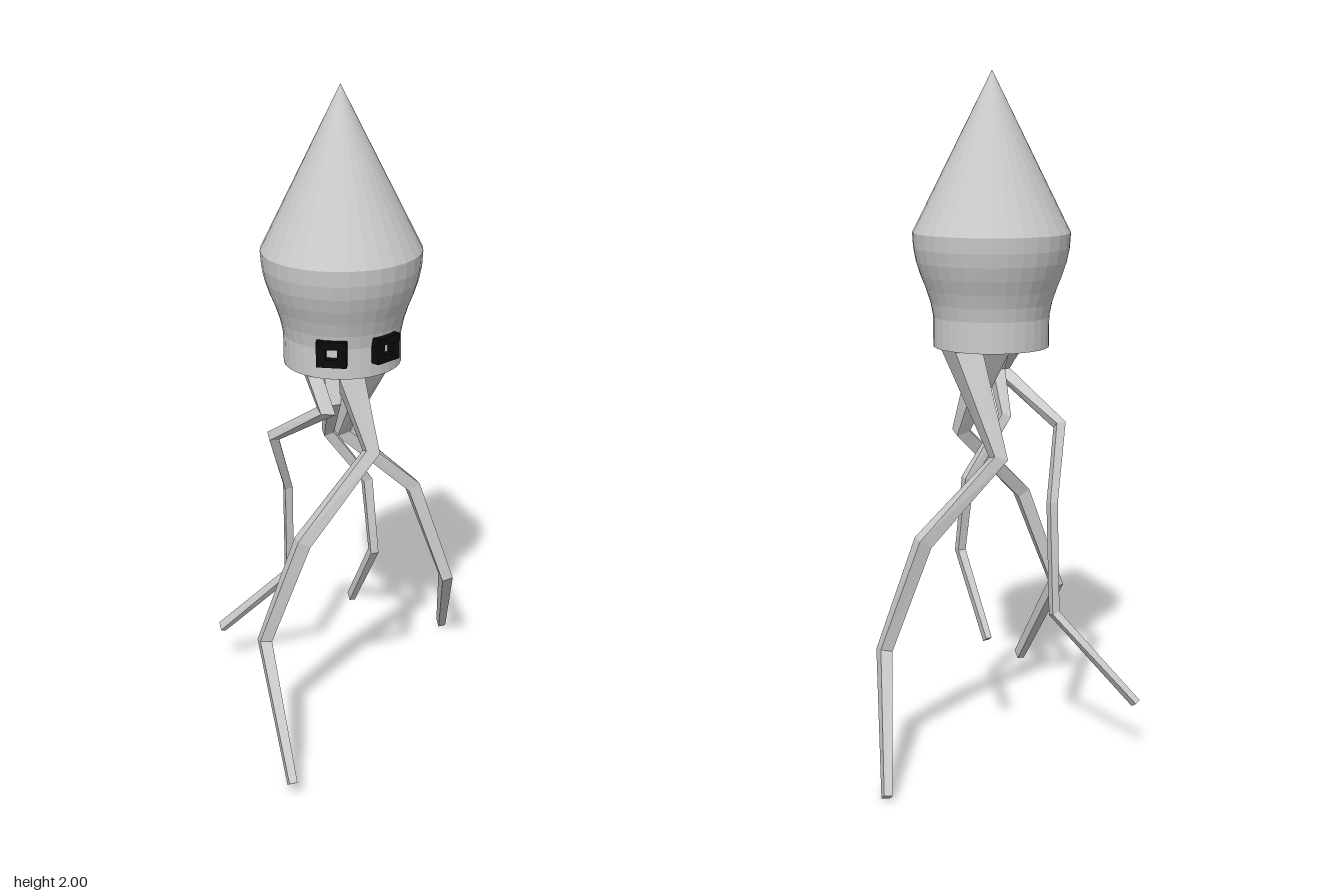
import * as THREE from 'three';

const grey = new THREE.MeshStandardMaterial({ color: 0xcccccc, flatShading: true, side: THREE.DoubleSide });
const black = new THREE.MeshStandardMaterial({ color: 0x0a0a0a });
const AXIS_X = -0.08, AXIS_Z = -0.02;

// Four-sided tube through joints [x, y, z, halfWidth, halfDepth], mitred at each joint
function limbGeometry(joints) {
  const pts = joints.map(j => new THREE.Vector3(j[0], j[1], j[2]));
  const pos = [], idx = [];
  const last = pts.length - 1;
  pts.forEach((p, i) => {
    const dirIn = p.clone().sub(pts[Math.max(i - 1, 0)]).normalize();
    const dirOut = pts[Math.min(i + 1, last)].clone().sub(p).normalize();
    const t = i === 0 ? new THREE.Vector3(0, -1, 0) : dirIn.add(dirOut).normalize();
    const u = new THREE.Vector3(1, 0, 0).addScaledVector(t, -t.x).normalize();
    const v = t.clone().cross(u);
    const [, , , w, d] = joints[i];
    for (const [a, b] of [[-1, -1], [1, -1], [1, 1], [-1, 1]]) {
      const c = p.clone().addScaledVector(u, a * w).addScaledVector(v, b * d);
      pos.push(c.x, c.y, c.z);
    }
  });
  for (let i = 0; i < last; i++) {
    for (let k = 0; k < 4; k++) {
      const a = i * 4 + k, b = i * 4 + (k + 1) % 4;
      idx.push(a, b, b + 4, a, b + 4, a + 4);
    }
  }
  const e = last * 4;
  idx.push(0, 2, 1, 0, 3, 2, e, e + 1, e + 2, e, e + 2, e + 3);
  const g = new THREE.BufferGeometry();
  g.setAttribute('position', new THREE.Float32BufferAttribute(pos, 3));
  g.setIndex(idx);
  const flat = g.toNonIndexed();
  flat.computeVertexNormals();
  return flat;
}

// Legs, from hip to foot
const legs = {
  frontRightLeg: [
    [-0.08, 1.23, -0.05, 0.045, 0.055], [-0.02, 0.93, 0.07, 0.021, 0.021],
    [-0.255, 0.70, 0.14, 0.021, 0.021], [-0.375, 0.385, 0.13, 0.018, 0.019],
    [-0.368, 0.05, 0.395, 0.012, 0.016]],
  backLeftLeg: [
    [0.03, 1.23, -0.025, 0.045, 0.065], [-0.03, 0.895, -0.195, 0.021, 0.021],
    [0.205, 0.67, -0.195, 0.021, 0.021], [0.31, 0.345, -0.15, 0.018, 0.021],
    [0.393, 0.012, -0.4, 0.012, 0.015]],
  backRightLeg: [
    [-0.2, 1.23, 0.03, 0.022, 0.03], [-0.172, 1.1, 0.12, 0.022, 0.022],
    [-0.28, 0.955, -0.08, 0.015, 0.015], [-0.215, 0.74, -0.17, 0.012, 0.014],
    [-0.207, 0.41, -0.21, 0.012, 0.014], [-0.402, 0.155, -0.37, 0.009, 0.015]],
  middleLeg: [
    [-0.14, 1.23, 0.03, 0.022, 0.03], [-0.143, 1.11, 0.085, 0.02, 0.02],
    [-0.13, 0.98, -0.01, 0.015, 0.015], [-0.005, 0.80, -0.02, 0.014, 0.015],
    [0.005, 0.57, 0.015, 0.012, 0.014], [-0.02, 0.33, -0.14, 0.009, 0.014]],
};

// Square frame with a square hole
function eyeGeometry() {
  const square = (shape, w, h) => {
    shape.moveTo(-w, -h);
    shape.lineTo(w, -h);
    shape.lineTo(w, h);
    shape.lineTo(-w, h);
    shape.closePath();
    return shape;
  };
  const s = square(new THREE.Shape(), 0.043, 0.038);
  s.holes.push(square(new THREE.Path(), 0.017, 0.015));
  const g = new THREE.ExtrudeGeometry(s, { depth: 0.03, bevelEnabled: false });
  g.translate(0, 0, -0.015);
  return g;
}

export function createModel() {
  const group = new THREE.Group();
  group.name = 'walkingSquid';

  // Head: recessed underside, neck, swelling body, pointed cap
  const profile = [
    [0, 1.225], [0.165, 1.225], [0.172, 1.2], [0.172, 1.29], [0.18, 1.33], [0.193, 1.37],
    [0.209, 1.41], [0.222, 1.45], [0.23, 1.49], [0.233, 1.535], [0, 2],
  ].map(([r, y]) => new THREE.Vector2(r, y));
  const head = new THREE.Mesh(new THREE.LatheGeometry(profile, 32), grey);
  head.name = 'head';
  head.position.set(AXIS_X, 0, AXIS_Z);
  group.add(head);

  // Eyes, turned to follow the head
  for (const side of [-1, 1]) {
    const angle = side * 0.46;
    const eye = new THREE.Mesh(eyeGeometry(), black);
    eye.name = side < 0 ? 'rightEye' : 'leftEye';
    eye.position.set(AXIS_X + 0.178 * Math.sin(angle), 1.28, AXIS_Z + 0.178 * Math.cos(angle));
    eye.rotation.y = angle;
    group.add(eye);
  }

  for (const [name, joints] of Object.entries(legs)) {
    const leg = new THREE.Mesh(limbGeometry(joints), grey);
    leg.name = name;
    group.add(leg);
  }
  return group;
}
